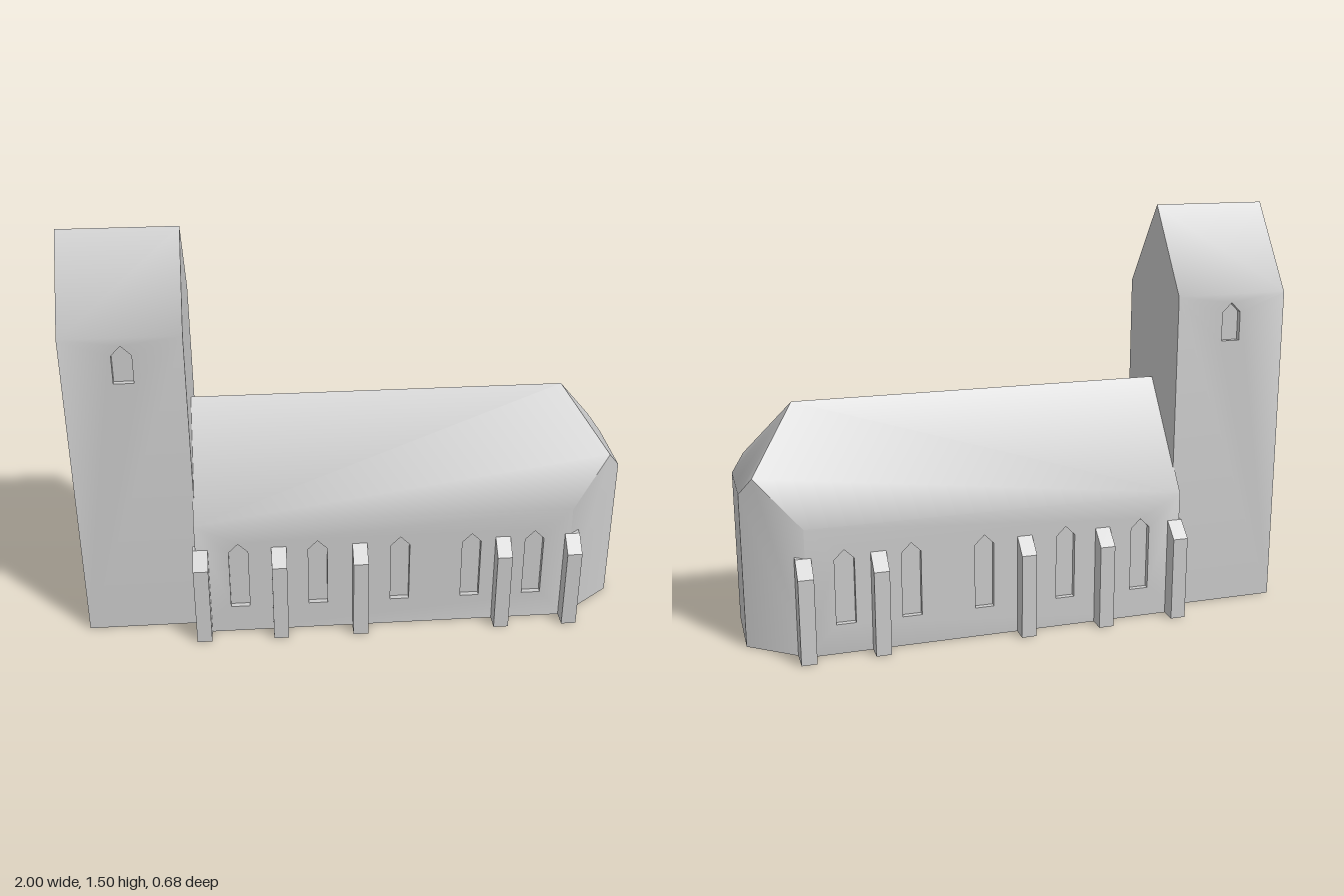
import * as THREE from 'three';
import { mergeGeometries, toCreasedNormals } from 'three/addons/utils/BufferGeometryUtils.js';

const CREASE = THREE.MathUtils.degToRad(40);
const v3 = (x, y, z) => new THREE.Vector3(x, y, z);

// Convex face as a triangle fan, corners anticlockwise from outside
function face(points) {
  const tris = [];
  for (let i = 1; i < points.length - 1; i++) tris.push(points[0], points[i], points[i + 1]);
  return new THREE.BufferGeometry().setFromPoints(tris);
}

// Mirrored copy across z = 0, with the winding turned round
function mirrorZ(geometry) {
  const p = geometry.attributes.position;
  const tris = [];
  for (let i = 0; i < p.count; i += 3) {
    for (const k of [0, 2, 1]) tris.push(v3(p.getX(i + k), p.getY(i + k), -p.getZ(i + k)));
  }
  return new THREE.BufferGeometry().setFromPoints(tris);
}

// Pointed opening, anticlockwise
const lancet = (c, w, y0, shoulder, y1) => [
  [c - w / 2, y0], [c + w / 2, y0], [c + w / 2, shoulder], [c, y1], [c - w / 2, shoulder],
].map(([u, v]) => new THREE.Vector2(u, v));

// Wall with recessed openings; place(u, v, depth) sets it in space
function wall(outline, openings, place, depth = 0.02) {
  const shape = new THREE.Shape(outline.map(([u, v]) => new THREE.Vector2(u, v)));
  shape.holes = openings.map((o) => new THREE.Path(o));
  const flat = new THREE.ShapeGeometry(shape).toNonIndexed().attributes.position;
  const tris = [];
  for (let i = 0; i < flat.count; i++) tris.push(place(flat.getX(i), flat.getY(i), 0));
  const parts = [new THREE.BufferGeometry().setFromPoints(tris)];
  for (const o of openings) {
    parts.push(face(o.map((p) => place(p.x, p.y, depth))));
    o.forEach((a, i) => {
      const b = o[(i + 1) % o.length];
      parts.push(face([place(a.x, a.y, 0), place(b.x, b.y, 0), place(b.x, b.y, depth), place(a.x, a.y, depth)]));
    });
  }
  return mergeGeometries(parts);
}

const rect = (x0, x1, h) => [[x0, 0], [x1, 0], [x1, h], [x0, h]];

// Nave with a three-sided east end and hipped roof
function naveGeometry() {
  const w = -0.585, e = 0.8, d = 0.28, eave = 0.47, top = 0.85, ridgeEnd = 0.79;
  const endZ = 0.13, endTop = 0.567;
  const peak = v3(0.954, 0.629, 0.164);
  const windows = [-0.43, -0.14, 0.165, 0.43, 0.665].map((x) => lancet(x, 0.07, 0.11, 0.35, 0.385));
  const half = mergeGeometries([
    wall(rect(w, e, eave), windows, (u, v, t) => v3(u, v, d - t)),
    // roof slope
    face([v3(w, eave, d), v3(e, eave, d), peak, v3(ridgeEnd, top, 0), v3(w, top, 0)]),
    // slanting east wall
    face([v3(e, 0, d), v3(1, 0, endZ), v3(1, endTop, endZ), peak, v3(e, eave, d)]),
    // east wall
    face([v3(1, 0, endZ), v3(1, 0, 0), v3(1, endTop, 0), v3(1, endTop, endZ)]),
    // hip
    face([v3(ridgeEnd, top, 0), peak, v3(1, endTop, endZ), v3(1, endTop, 0)]),
    // west gable
    face([v3(w, 0, 0), v3(w, 0, d), v3(w, eave, d), v3(w, top, 0)]),
    // floor
    face([v3(w, 0, d), v3(w, 0, 0), v3(1, 0, 0), v3(1, 0, endZ), v3(e, 0, d)]),
  ]);
  return toCreasedNormals(mergeGeometries([half, mirrorZ(half)]), CREASE);
}

// Saddle-roofed tower with a window on each long side and a west door
function towerGeometry() {
  const w = -1, e = -0.58, d = 0.222, eave = 1.19, top = 1.5;
  const half = mergeGeometries([
    wall(rect(w, e, eave), [lancet(-0.79, 0.07, 1.02, 1.125, 1.16)], (u, v, t) => v3(u, v, d - t)),
    // roof slope
    face([v3(w, eave, d), v3(e, eave, d), v3(e, top, 0), v3(w, top, 0)]),
    // east gable
    face([v3(e, 0, d), v3(e, 0, 0), v3(e, top, 0), v3(e, eave, d)]),
    // floor
    face([v3(w, 0, d), v3(w, 0, 0), v3(e, 0, 0), v3(e, 0, d)]),
  ]);
  const west = wall([[-d, 0], [d, 0], [d, eave], [0, top], [-d, eave]],
    [lancet(0, 0.075, 0.004, 0.155, 0.195)], (u, v, t) => v3(w + t, v, u));
  return toCreasedNormals(mergeGeometries([half, mirrorZ(half), west]), CREASE);
}

// Buttress with a sloping top, drawn from the side and extruded along x
function buttressGeometry(width) {
  const profile = new THREE.Shape([[0.25, 0], [0.34, 0], [0.34, 0.312], [0.28, 0.366], [0.25, 0.366]]
    .map(([z, y]) => new THREE.Vector2(z, y)));
  const g = new THREE.ExtrudeGeometry(profile, { depth: width, bevelEnabled: false });
  return g.translate(0, 0, -width / 2).rotateY(-Math.PI / 2);
}

export function createModel() {
  const stone = new THREE.MeshStandardMaterial({ color: 0xcccccc });
  stone.name = 'stone';
  const church = new THREE.Group();
  church.name = 'church';

  const add = (name, geometry, parent = church) => {
    const mesh = new THREE.Mesh(geometry, stone);
    mesh.name = name;
    parent.add(mesh);
    return mesh;
  };
  add('nave', naveGeometry());
  add('tower', towerGeometry());

  // Five buttresses along each side
  const buttresses = new THREE.Group();
  buttresses.name = 'buttresses';
  church.add(buttresses);
  const shape = buttressGeometry(0.055);
  for (const x of [-0.567, -0.282, 0.015, 0.546, 0.806]) {
    add('frontButtress', shape, buttresses).position.x = x;
    const back = add('backButtress', shape, buttresses);
    back.position.x = x;
    back.rotation.y = Math.PI;
  }
  return church;
}
